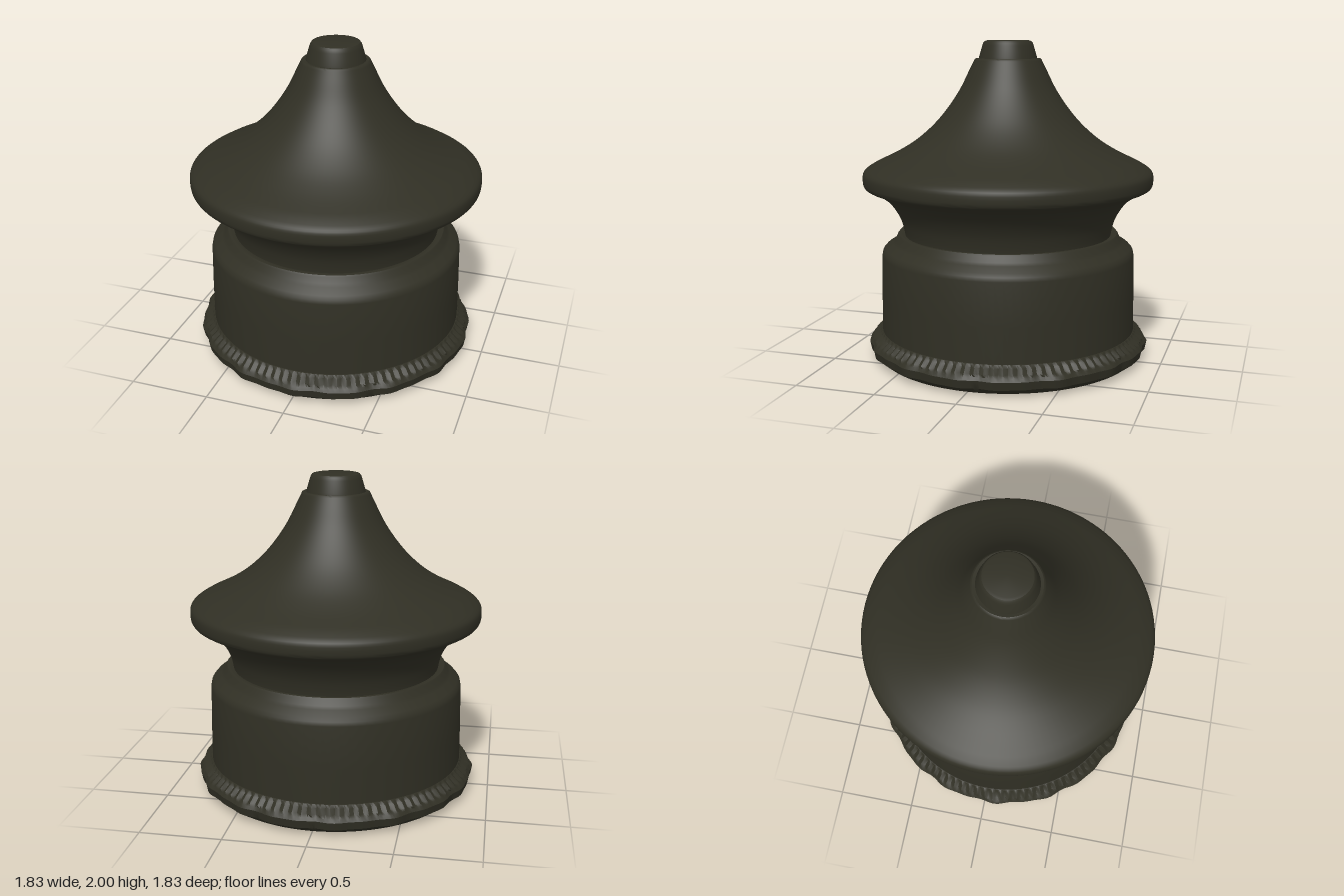
import * as THREE from 'three';
import { toCreasedNormals } from 'three/addons/utils/BufferGeometryUtils.js';

const darkOlive = new THREE.MeshStandardMaterial({ color: 0x302f24 });
darkOlive.name = 'darkOlive';

const toPoints = (list) => list.map(([x, y]) => new THREE.Vector2(x, y));
const smooth = (list, n) => new THREE.SplineCurve(toPoints(list)).getPoints(n);

// Turned part: profile runs from bottom to top, hard edges stay sharp
function turned(name, points, segments = 96, shape) {
  const geometry = new THREE.LatheGeometry(points, segments);
  if (shape) shape(geometry.attributes.position);
  const mesh = new THREE.Mesh(toCreasedNormals(geometry, 0.6), darkOlive);
  mesh.name = name;
  return mesh;
}

// Uneven foot rim with a band of fine flutes above its widest edge
function shapeRim(position) {
  for (let i = 0; i < position.count; i++) {
    const x = position.getX(i), y = position.getY(i), z = position.getZ(i);
    const r = Math.hypot(x, z);
    if (r < 0.8) continue;
    const a = Math.atan2(z, x);
    let offset = 0;
    if (y > 0.12 && y < 0.17) offset = 0.009 * Math.cos(a * 96);
    else if (y > 0.02 && y < 0.12) offset = 0.006 * Math.sin(a * 17) + 0.004 * Math.sin(a * 29 + 1);
    const k = (r + offset) / r;
    position.setX(i, x * k);
    position.setZ(i, z * k);
  }
}

export function createModel() {
  const group = new THREE.Group();
  group.name = 'turnedFinial';

  // Foot with closed underside
  group.add(turned('footRim', toPoints([
    [0, 0], [0.79, 0], [0.83, 0.012], [0.878, 0.05], [0.888, 0.1], [0.875, 0.118],
    [0.86, 0.132], [0.83, 0.16], [0.815, 0.178], [0.78, 0.18],
  ]), 384, shapeRim));

  // Drum with a chamfered shoulder and shallow lip
  group.add(turned('drum', toPoints([
    [0.81, 0.165], [0.808, 0.4], [0.802, 0.66], [0.797, 0.685], [0.78, 0.705],
    [0.735, 0.735], [0.718, 0.752], [0.703, 0.785], [0.695, 0.795], [0.675, 0.795], [0.64, 0.78],
  ])));

  // Flared neck, rounded rim and concave roof
  group.add(turned('neckAndRoof', [
    ...smooth([[0.655, 0.775], [0.662, 0.82], [0.682, 0.89], [0.72, 0.96], [0.77, 1.02], [0.83, 1.062], [0.89, 1.088]], 20),
    ...smooth([[0.903, 1.096], [0.913, 1.115], [0.915, 1.165], [0.905, 1.192], [0.88, 1.213]], 10),
    ...smooth([[0.83, 1.242], [0.7, 1.305], [0.58, 1.38], [0.47, 1.475], [0.38, 1.58], [0.3, 1.7], [0.24, 1.82], [0.208, 1.885]], 30),
    ...toPoints([[0.2, 1.89], [0.16, 1.885]]),
  ]));

  // Small tapered cap
  group.add(turned('topCap', toPoints([
    [0.184, 1.88], [0.18, 1.9], [0.16, 1.968], [0.154, 1.985], [0.145, 1.996], [0.13, 2], [0, 2],
  ]), 64));

  return group;
}
